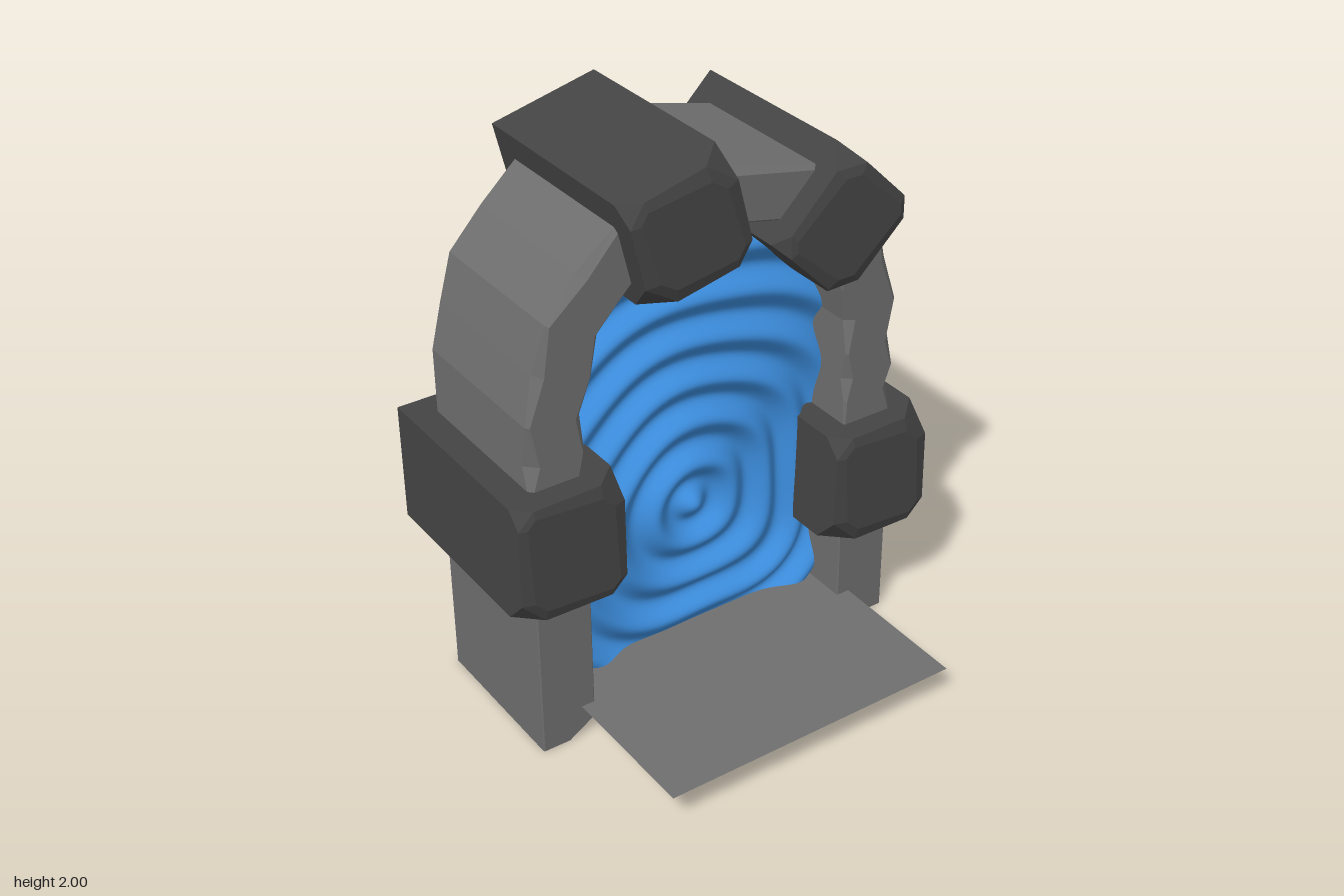
import * as THREE from 'three';
import { ConvexGeometry } from 'three/addons/geometries/ConvexGeometry.js';

const archMat = new THREE.MeshStandardMaterial({ color: 0x6e6e6e, flatShading: true });
const stoneMat = new THREE.MeshStandardMaterial({ color: 0x444444, flatShading: true });
const floorMat = new THREE.MeshStandardMaterial({ color: 0x6e6e6e, side: THREE.DoubleSide });
const portalMat = new THREE.MeshStandardMaterial({ color: 0x3d8fe0, side: THREE.DoubleSide });

// Box with its corners knocked off by one size at the front and another at the back
function stone(name, x, y, w, h, angle, frontCut, backCut) {
  const d = 0.77, pts = [];
  for (const sx of [-1, 1]) for (const sy of [-1, 1]) for (const sz of [-1, 1]) {
    const cx = sx * w / 2, cy = sy * h / 2, cz = sz * d / 2;
    const c = (sz > 0 ? frontCut : backCut) * (1 + 0.2 * sx * sy);
    pts.push(new THREE.Vector3(cx - sx * c, cy, cz - sz * c * 0.15));
    pts.push(new THREE.Vector3(cx, cy - sy * c, cz - sz * c * 0.15));
    pts.push(new THREE.Vector3(cx, cy, cz - sz * c * 1.1));
    pts.push(new THREE.Vector3(cx - sx * c, cy - sy * c * 0.5, cz));
    pts.push(new THREE.Vector3(cx - sx * c * 0.5, cy - sy * c, cz));
  }
  const mesh = new THREE.Mesh(new ConvexGeometry(pts), stoneMat);
  mesh.name = name;
  mesh.position.set(x, y, -0.22);
  mesh.rotation.z = angle;
  return mesh;
}

// Arch: a six-sided section swept over the opening, with chipped front edges
function arch() {
  // outer x, outer y, inner x, inner y, outer chip, inner chip; left foot to crown
  const half = [
    [0.705, 0, 0.505, 0, 0.004, 0.1], [0.705, 0.06, 0.505, 0.06, 0.004, 0.004],
    [0.705, 0.8, 0.505, 0.8, 0.004, 0.004], [0.705, 0.92, 0.505, 0.92, 0.04, 0.01],
    [0.705, 1.0, 0.505, 1.0, 0.01, 0.03], [0.705, 1.1, 0.505, 1.1, 0.04, 0.008],
    [0.705, 1.25, 0.505, 1.22, 0.012, 0.03], [0.665, 1.41, 0.475, 1.35, 0.03, 0.006],
    [0.62, 1.57, 0.44, 1.48, 0.01, 0.02], [0.5, 1.7, 0.37, 1.57, 0.03, 0.008],
    [0.37, 1.82, 0.28, 1.66, 0.015, 0.008], [0, 1.91, 0, 1.72, 0.03, 0.008],
  ];
  const rings = [...half, ...half.slice(0, -1).reverse().map(([a, b, c, d, e, f]) => [-a, b, -c, d, e, f])];
  const front = 0.07, back = -0.51, pos = [], idx = [];
  rings.forEach(([ox, oy, ix, iy, a, b], i) => {
    const w = Math.hypot(ix - ox, iy - oy);
    const dx = (ix - ox) / w, dy = (iy - oy) / w;
    pos.push(
      ox, oy, back, ix, iy, back, ix, iy, front - b,
      ix - dx * b, iy - dy * b, front, ox + dx * a, oy + dy * a, front, ox, oy, front - a);
    if (i) for (let k = 0; k < 6; k++) {
      const p = (i - 1) * 6 + k, q = (i - 1) * 6 + (k + 1) % 6;
      idx.push(p, q, p + 6, q, q + 6, p + 6);
    }
  });
  // foot caps
  const last = (rings.length - 1) * 6;
  for (let k = 1; k < 5; k++) {
    idx.push(0, k + 1, k);
    idx.push(last, last + k, last + k + 1);
  }
  const g = new THREE.BufferGeometry();
  g.setAttribute('position', new THREE.Float32BufferAttribute(pos, 3));
  g.setIndex(idx);
  const flat = g.toNonIndexed();
  flat.computeVertexNormals();
  const mesh = new THREE.Mesh(flat, archMat);
  mesh.name = 'arch';
  return mesh;
}

// Rippling sheet that fills the opening: a front face, a back face offset along
// the front's normals, and a strip joining them along the bottom
function portal() {
  const cols = 100, rows = 150, bottom = 0.118, top = 1.64, thickness = 0.08;
  const frontGeo = new THREE.PlaneGeometry(2, 1, cols, rows);
  const p = frontGeo.attributes.position;
  const halfWidth = (y) => y < 1.22 ? 0.515
    : y < 1.47 ? THREE.MathUtils.mapLinear(y, 1.22, 1.47, 0.515, 0.475)
    : THREE.MathUtils.mapLinear(y, 1.47, top, 0.475, 0.31);
  for (let i = 0; i < p.count; i++) {
    const y = bottom + (p.getY(i) + 0.5) * (top - bottom);
    const x = p.getX(i) * halfWidth(y);
    // uneven concentric rings
    const dy = y - 0.62, t = Math.atan2(dy, x), r = Math.hypot(x, dy);
    const warp = 0.03 * Math.cos(4 * t) + 0.035 * Math.sin(3 * t + 0.9) + 0.02 * Math.sin(5 * t + 2);
    const ring = r + Math.min(r * r * 2.5, 0.5) * warp + 0.008 * Math.sin(9 * x + 5 * y) * Math.min(1, r * 3);
    p.setXYZ(i, x, y, -0.09 + 0.025 * Math.cos(ring * 2 * Math.PI / 0.155));
  }
  frontGeo.computeVertexNormals();

  const backGeo = frontGeo.clone();
  const q = backGeo.attributes.position, n = frontGeo.attributes.normal;
  for (let i = 0; i < q.count; i++) {
    q.setXYZ(i,
      p.getX(i) - n.getX(i) * thickness,
      Math.min(top, p.getY(i) - n.getY(i) * thickness),
      p.getZ(i) - n.getZ(i) * thickness);
  }
  backGeo.computeVertexNormals();

  const rimGeo = new THREE.PlaneGeometry(1, 1, cols, 1);
  const rim = rimGeo.attributes.position, first = rows * (cols + 1);
  for (let i = 0; i <= cols; i++) {
    rim.setXYZ(i, p.getX(first + i), p.getY(first + i), p.getZ(first + i));
    rim.setXYZ(cols + 1 + i, q.getX(first + i), q.getY(first + i), q.getZ(first + i));
  }
  rimGeo.computeVertexNormals();

  const group = new THREE.Group();
  group.name = 'portal';
  const parts = { portalFront: frontGeo, portalBack: backGeo, portalBottomEdge: rimGeo };
  for (const [name, geo] of Object.entries(parts)) {
    const mesh = new THREE.Mesh(geo, portalMat);
    mesh.name = name;
    group.add(mesh);
  }
  return group;
}

export function createModel() {
  const model = new THREE.Group();
  model.name = 'stonePortal';
  model.add(arch(), portal());

  // Large stones set on the arch
  model.add(
    stone('rightStone', -0.61, 0.81, 0.38, 0.42, 0, 0.07, 0.002),
    stone('leftStone', 0.605, 0.62, 0.385, 0.42, 0, 0.08, 0.05),
    stone('crownStone', -0.163, 1.77, 0.385, 0.375, 0.235, 0.08, 0.002),
    stone('shoulderStone', 0.42, 1.63, 0.38, 0.355, 0.785, 0.07, 0.002));

  // Thin floor reaching out in front
  const floor = new THREE.Mesh(new THREE.PlaneGeometry(1.11, 1.11), floorMat);
  floor.name = 'floor';
  floor.rotation.x = -Math.PI / 2;
  floor.position.set(0, 0.12, 0.05);
  model.add(floor);
  return model;
}
